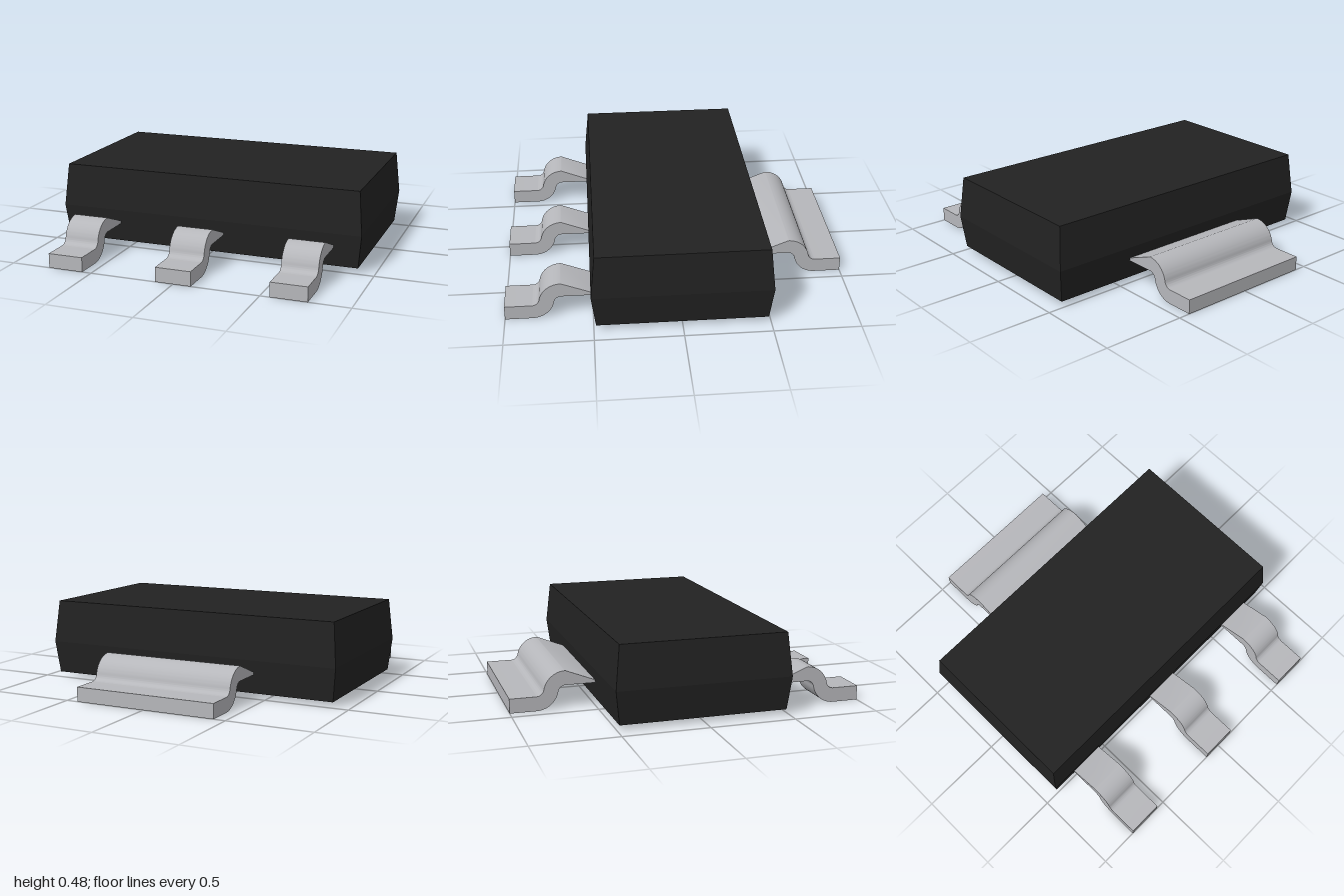
import * as THREE from 'three';
import { toCreasedNormals } from 'three/addons/utils/BufferGeometryUtils.js';

const THICK = 0.085;

// Side outline of a bent lead: high flat, S-bend, low foot
function leadShape() {
  const half = THICK / 2, yHigh = 0.183, yLow = half, z1 = 0.675, z2 = 0.845;
  const theta = 2 * Math.atan2(yHigh - yLow, z2 - z1);
  const r = (z2 - z1) / (2 * Math.sin(theta));
  const up = Math.PI / 2, down = 1.5 * Math.PI;
  const s = new THREE.Shape();
  s.moveTo(0.46, yHigh + half);
  s.absarc(z1, yHigh - r, r + half, up, up - theta, true);
  s.absarc(z2, yLow + r, r - half, down - theta, down, false);
  s.lineTo(1, THICK);
  s.lineTo(1, 0);
  s.absarc(z2, yLow + r, r + half, down, down - theta, true);
  s.absarc(z1, yHigh - r, r - half, up - theta, up, false);
  s.lineTo(0.46, yHigh - half);
  s.closePath();
  return s;
}

function leadGeometry(width) {
  const g = new THREE.ExtrudeGeometry(leadShape(), { depth: width, bevelEnabled: false, curveSegments: 12 });
  g.translate(0, 0, -width / 2);
  g.rotateY(-Math.PI / 2);
  return toCreasedNormals(g, 0.5);
}

// Moulded block, widest at the parting line and drafted up and down
function bodyGeometry() {
  const g = new THREE.BoxGeometry(2, 2, 2, 1, 2, 1);
  const p = g.attributes.position;
  const levels = [[0.905, 0.03, 0.487], [0.925, 0.225, 0.51], [0.902, 0.477, 0.484]];
  for (let i = 0; i < p.count; i++) {
    const [x, y, z] = levels[Math.round(p.getY(i)) + 1];
    p.setXYZ(i, Math.sign(p.getX(i)) * x, y, Math.sign(p.getZ(i)) * z);
  }
  const flat = g.toNonIndexed();
  flat.computeVertexNormals();
  return flat;
}

export function createModel() {
  const group = new THREE.Group();
  const black = new THREE.MeshStandardMaterial({ color: 0x222222 });
  black.name = 'black plastic';
  const metal = new THREE.MeshStandardMaterial({ color: 0xb6b7bb });
  metal.name = 'tinned metal';

  const add = (name, geometry, material) => {
    const mesh = new THREE.Mesh(geometry, material);
    mesh.name = name;
    group.add(mesh);
    return mesh;
  };

  add('body', bodyGeometry(), black);

  // Three narrow leads on the front
  const lead = leadGeometry(0.21);
  [['rightLead', -0.66], ['middleLead', 0], ['leftLead', 0.66]].forEach(([name, x]) => {
    add(name, lead, metal).position.x = x;
  });

  // One wide tab on the back
  add('rearTab', leadGeometry(0.86), metal).rotation.y = Math.PI;

  return group;
}
